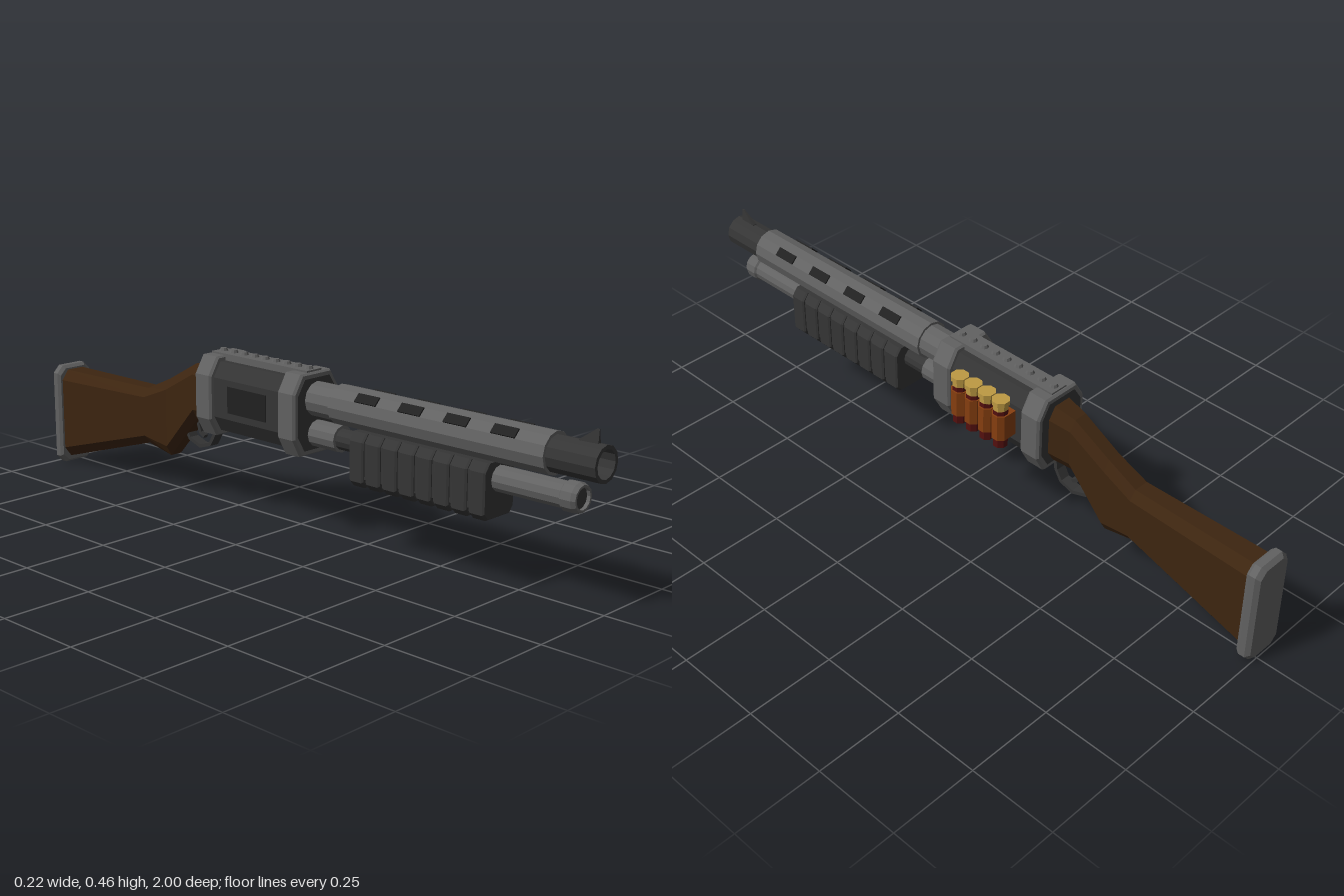
import * as THREE from 'three';

const mat = (name, color) => Object.assign(new THREE.MeshStandardMaterial({ color }), { name });

export function createModel() {
  const root = new THREE.Group();
  root.name = 'shotgun';
  const steel = mat('steel grey', 0x626262);
  const dark = mat('dark gunmetal', 0x353535);
  const black = mat('slot black', 0x212121);
  const wood = mat('walnut', 0x3d2510);
  const brass = mat('brass', 0xbe9a43);
  const orange = mat('shell holder orange', 0x873f10);
  const red = mat('shell red', 0x54100f);
  const CX = -0.022, BY = 0.378, MY = 0.283; // centre line, barrel height, magazine height

  // Adds a faceted mesh
  const add = (name, geo, material, x = 0, y = 0, z = 0, parent = root) => {
    const g = geo.index ? geo.toNonIndexed() : geo;
    g.computeVertexNormals();
    const m = new THREE.Mesh(g, material);
    m.name = name;
    m.position.set(x, y, z);
    parent.add(m);
    return m;
  };
  // Joins convex cross-sections [z, points] (counter-clockwise, z increasing)
  const loft = (sections) => {
    const pos = [];
    const put = (z, p) => pos.push(p[0], p[1], z);
    for (let k = 0; k + 1 < sections.length; k++) {
      const [z0, a] = sections[k], [z1, b] = sections[k + 1];
      a.forEach((p, i) => {
        const j = (i + 1) % a.length;
        put(z0, p); put(z0, a[j]); put(z1, b[j]);
        put(z0, p); put(z1, b[j]); put(z1, b[i]);
      });
    }
    const [zs, s] = sections[0], [ze, e] = sections[sections.length - 1];
    for (let i = 1; i + 1 < s.length; i++) {
      put(zs, s[0]); put(zs, s[i + 1]); put(zs, s[i]);
      put(ze, e[0]); put(ze, e[i]); put(ze, e[i + 1]);
    }
    const g = new THREE.BufferGeometry();
    g.setAttribute('position', new THREE.Float32BufferAttribute(pos, 3));
    return g;
  };
  // Mirrors a right half profile, listed from bottom to top
  const mirror = (half) => [...half, ...half.slice().reverse().map(([x, y]) => [-x, y])];
  const octagon = (w, y0, y1, cx, cy) =>
    mirror([[w - cx, y0], [w, y0 + cy], [w, y1 - cy], [w - cx, y1]]);
  const tubeZ = (name, r, z0, z1, y, material, r1 = r, sides = 12) =>
    add(name, new THREE.CylinderGeometry(r1, r, z1 - z0, sides).rotateX(Math.PI / 2), material, CX, y, (z0 + z1) / 2);
  // Hollow round part made from an outline of [radius, z]
  const latheZ = (name, outline, y, material) =>
    add(name, new THREE.LatheGeometry(outline.map(([r, z]) => new THREE.Vector2(r, z)), 12).rotateX(Math.PI / 2), material, CX, y, 0);

  // Barrel, heat shield and hollow muzzle
  tubeZ('barrelBase', 0.048, 0.05, 0.18, BY, steel);
  tubeZ('heatShield', 0.055, 0.17, 0.86, BY, steel);
  latheZ('muzzle', [[0.047, 0.85], [0.047, 1], [0.037, 1], [0.037, 0.9]], BY, dark);
  tubeZ('bore', 0.038, 0.86, 0.91, BY, steel);
  for (const side of [-1, 1]) {
    for (let i = 0; i < 4; i++) {
      const a = Math.PI / 4, d = 0.055 * Math.cos(Math.PI / 12);
      const slot = add('ventSlot', new THREE.BoxGeometry(0.008, 0.027, 0.072), black,
        CX + side * d * Math.cos(a), BY + d * Math.sin(a), 0.295 + i * 0.147);
      slot.rotation.z = side * a;
    }
  }

  // Front sight
  const fin = mirror([[0.006, 0.41], [0.0015, 0.458]]);
  const foot = mirror([[0.006, 0.41], [0.006, 0.426]]);
  add('frontSight', loft([[0.925, foot], [0.97, fin], [0.978, fin]]), dark, CX);

  // Magazine tube with recessed cap
  tubeZ('magazineTube', 0.034, 0.66, 0.91, MY, steel);
  latheZ('magazineCap', [[0.034, 0.895], [0.039, 0.9], [0.039, 0.93], [0.034, 0.942], [0.028, 0.942], [0.028, 0.93]], MY, steel);
  tubeZ('capCentre', 0.029, 0.91, 0.932, MY, dark);
  tubeZ('magazineRear', 0.029, 0.15, 0.3, MY, dark);
  tubeZ('magazineCollar', 0.037, 0.05, 0.175, MY, steel);

  // Ribbed pump grip
  const grip = (w, y0) => mirror([[w - 0.014, y0], [w, y0 + 0.016], [w, 0.306], [w - 0.017, 0.328]]);
  add('pumpGrip', loft([[0.255, grip(0.053, 0.192)], [0.695, grip(0.053, 0.192)]]), dark, CX);
  for (let i = 0; i < 8; i++) {
    const z = 0.252 + i * 0.0565;
    add('pumpRib', loft([[z, grip(0.056, 0.186)], [z + 0.006, grip(0.059, 0.182)],
      [z + 0.043, grip(0.059, 0.182)], [z + 0.049, grip(0.056, 0.186)]]), dark, CX);
  }

  // Receiver body and its two steel frames
  const body = mirror([[0.048, 0.24], [0.073, 0.283], [0.073, 0.395], [0.047, 0.436]]);
  const frame = mirror([[0.06, 0.225], [0.087, 0.275], [0.087, 0.4], [0.056, 0.45]]);
  const frameEdge = frame.map(([x, y]) => [x * 0.94, 0.34 + (y - 0.34) * 0.96]);
  add('receiver', loft([[-0.3, body], [0.07, body]]), dark, CX);
  for (const z of [-0.31, 0.015]) {
    add('receiverFrame', loft([[z, frameEdge], [z + 0.007, frame], [z + 0.058, frame], [z + 0.065, frameEdge]]), steel, CX);
  }
  for (const z of [-0.311, 0.08]) {
    add('frameInset', loft([[z, body], [z + 0.002, body]]), dark, CX);
  }
  add('ejectionPort', new THREE.BoxGeometry(0.004, 0.075, 0.15), black, CX - 0.073, 0.34, -0.115);

  // Top rail with a row of studs
  add('topRail', new THREE.BoxGeometry(0.056, 0.026, 0.37), steel, CX, 0.442, -0.115);
  for (let i = 0; i < 9; i++) {
    add('railStud', new THREE.CylinderGeometry(0.009, 0.013, 0.009, 8), steel, CX, 0.4585, -0.281 + i * 0.0415);
  }

  // Side holder with four shells
  const holder = new THREE.Group();
  holder.name = 'shellHolder';
  root.add(holder);
  add('holderPlate', new THREE.BoxGeometry(0.04, 0.076, 0.196), orange, 0.067, 0.3425, -0.119, holder);
  for (let i = 0; i < 4; i++) {
    const z = -0.045 - i * 0.0495, x = 0.083;
    const ring = (name, r, y0, y1, m) =>
      add(name, new THREE.CylinderGeometry(r, r, y1 - y0, 8).rotateY(Math.PI / 8), m, x, (y0 + y1) / 2, z, holder);
    ring('shellSleeve', 0.0255, 0.304, 0.381, orange);
    ring('shellCase', 0.021, 0.277, 0.395, red);
    ring('shellHead', 0.021, 0.394, 0.412, brass);
    ring('shellRim', 0.025, 0.411, 0.424, brass);
  }

  // Wooden stock
  add('stock', loft([
    [-0.965, octagon(0.05, 0.02, 0.297, 0.022, 0.03)],
    [-0.585, octagon(0.042, 0.133, 0.3, 0.02, 0.025)],
    [-0.492, octagon(0.037, 0.112, 0.342, 0.018, 0.03)],
    [-0.375, octagon(0.038, 0.243, 0.406, 0.018, 0.03)],
    [-0.3, octagon(0.05, 0.245, 0.422, 0.022, 0.035)],
  ]), wood, CX);

  // Butt plate
  add('buttPlate', loft([
    [-1, octagon(0.053, 0.012, 0.3, 0.02, 0.02)],
    [-0.988, octagon(0.062, 0.002, 0.31, 0.021, 0.022)],
    [-0.97, octagon(0.062, 0.002, 0.31, 0.021, 0.022)],
    [-0.96, octagon(0.056, 0.01, 0.302, 0.02, 0.02)],
  ]), steel, CX);

  // Trigger guard and trigger, flat bands following a (z, y) path
  const band = (name, points, width, thick) => {
    const secs = points.map(([z, y], i) => {
      const a = points[Math.max(i - 1, 0)], b = points[Math.min(i + 1, points.length - 1)];
      const l = Math.hypot(b[0] - a[0], b[1] - a[1]) * 2 / thick;
      return { z, y, nz: -(b[1] - a[1]) / l, ny: (b[0] - a[0]) / l };
    });
    const g = new THREE.Shape();
    secs.forEach((s, i) => (i ? g.lineTo(s.z + s.nz, s.y + s.ny) : g.moveTo(s.z + s.nz, s.y + s.ny)));
    secs.reverse().forEach((s) => g.lineTo(s.z - s.nz, s.y - s.ny));
    const geo = new THREE.ExtrudeGeometry(g, { depth: width, bevelEnabled: false });
    add(name, geo.translate(0, 0, -width / 2).rotateY(-Math.PI / 2), dark, CX);
  };
  band('triggerGuard', [[-0.305, 0.25], [-0.312, 0.205], [-0.33, 0.175], [-0.372, 0.162],
    [-0.415, 0.177], [-0.436, 0.21], [-0.43, 0.225]], 0.03, 0.011);
  band('trigger', [[-0.385, 0.25], [-0.386, 0.222], [-0.378, 0.2], [-0.362, 0.19]], 0.014, 0.011);

  return root;
}
